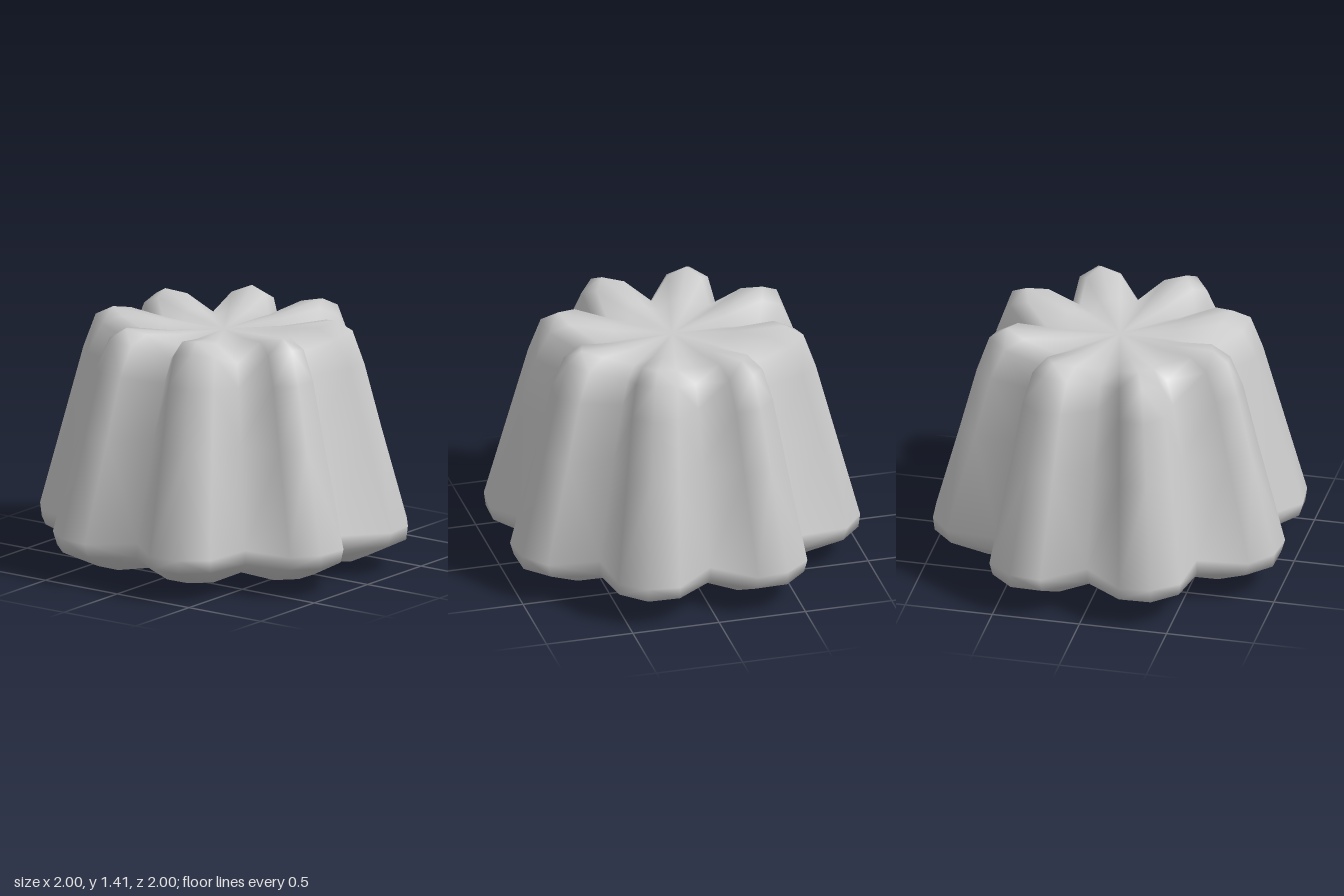
import * as THREE from 'three';

const LOBES = 8;
const SHOULDER = 12.7; // degrees from a groove to the lobe's shoulder

// Rings from the top centre to the bottom centre: [radius, height] at groove, shoulder and ridge
const RINGS = [
  [[0.28, 1.32], [0.33, 1.345], [0.36, 1.355]],
  [[0.42, 1.31], [0.57, 1.385], [0.64, 1.41]],
  [[0.50, 1.25], [0.685, 1.335], [0.74, 1.36]],
  [[0.56, 1.12], [0.765, 1.17], [0.81, 1.17]],
  [[0.66, 0.82], [0.86, 0.82], [0.905, 0.82]],
  [[0.81, 0.25], [1.025, 0.25], [1.06, 0.25]],
  [[0.82, 0.17], [1.0, 0.17], [1.05, 0.17]],
  [[0.66, 0.085], [0.78, 0.06], [0.82, 0.06]],
  [[0.42, 0.045], [0.55, 0.033], [0.58, 0.03]],
];

function flutedGeometry() {
  const positions = [0, 1.32, 0];
  const index = [];
  const n = LOBES * 4;
  const step = 360 / LOBES;
  const angles = [0, SHOULDER, step / 2, step - SHOULDER];

  for (const [groove, shoulder, ridge] of RINGS) {
    const section = [groove, shoulder, ridge, shoulder];
    for (let i = 0; i < n; i++) {
      const [r, y] = section[i % 4];
      const a = THREE.MathUtils.degToRad(Math.floor(i / 4) * step + angles[i % 4]);
      positions.push(r * Math.sin(a), y, r * Math.cos(a));
    }
  }
  positions.push(0, 0, 0);

  const at = (ring, i) => 1 + ring * n + (i % n);
  const last = RINGS.length - 1;
  const bottom = 1 + RINGS.length * n;
  for (let i = 0; i < n; i++) {
    // top and bottom fans
    index.push(0, at(0, i), at(0, i + 1));
    index.push(at(last, i), bottom, at(last, i + 1));
    // walls
    for (let k = 0; k < last; k++) {
      const a = at(k, i), b = at(k + 1, i), c = at(k + 1, i + 1), d = at(k, i + 1);
      // diagonals mirror about each lobe
      if (i % 4 < 2) index.push(a, b, d, b, c, d);
      else index.push(a, b, c, a, c, d);
    }
  }

  const geometry = new THREE.BufferGeometry();
  geometry.setAttribute('position', new THREE.Float32BufferAttribute(positions, 3));
  geometry.setIndex(index);
  geometry.computeVertexNormals();
  return geometry;
}

export function createModel() {
  const group = new THREE.Group();
  group.name = 'flutedCake';
  const body = new THREE.Mesh(
    flutedGeometry(),
    new THREE.MeshStandardMaterial({ color: 0xcccccc })
  );
  body.name = 'cakeBody';
  group.add(body);
  return group;
}
